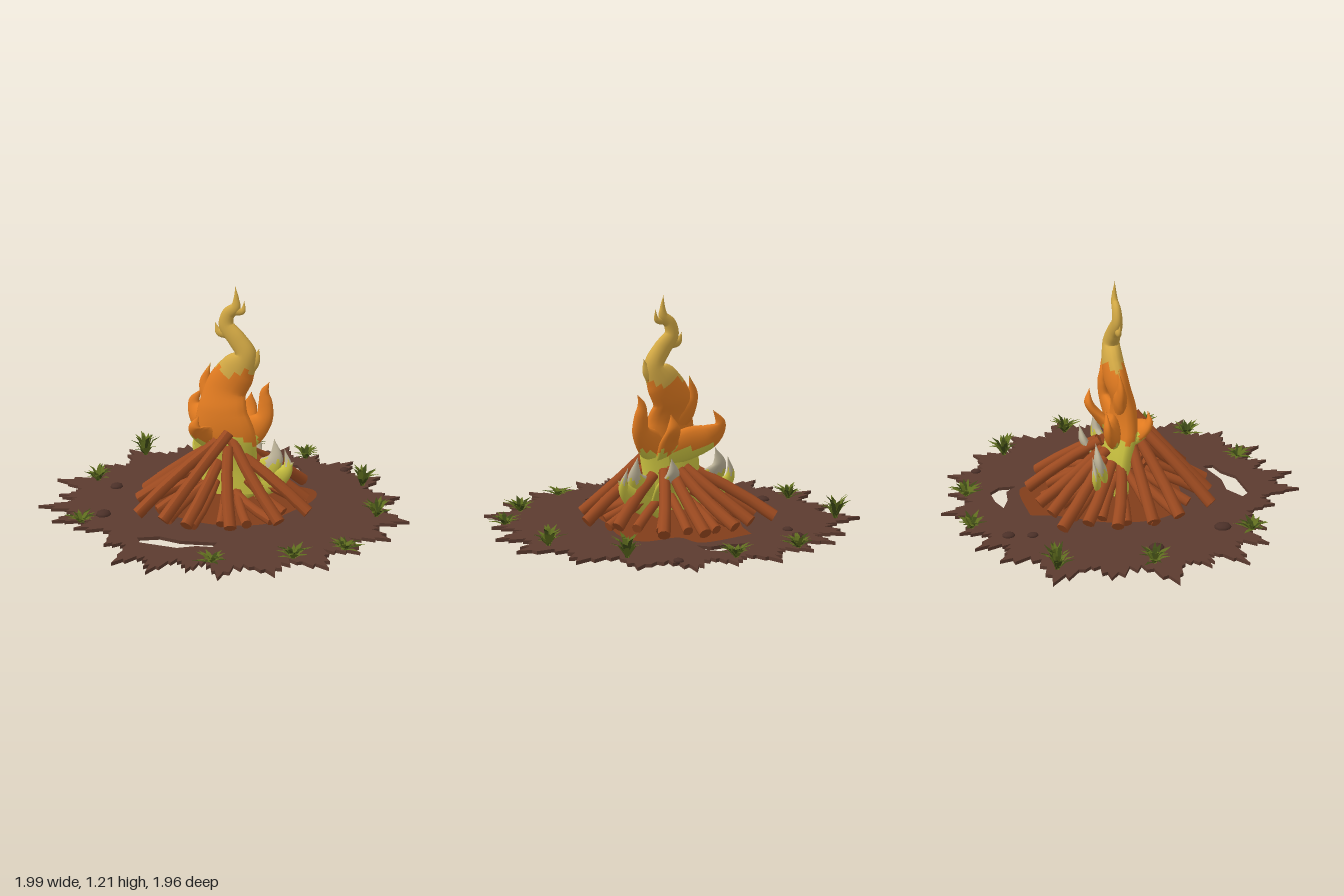
import * as THREE from 'three';

const mat = (name, color, side = THREE.FrontSide) => {
  const m = new THREE.MeshStandardMaterial({ color, side });
  m.name = name;
  return m;
};
const D = THREE.DoubleSide;
const M = {
  soil: mat('soil', 0x5c3b2f), rock: mat('rock', 0x4b3028), ash: mat('scorchedSoil', 0x813d1a, D),
  log: mat('logBark', 0x9c4a20), lime: mat('limeFlame', 0xcac240, D), orange: mat('orangeFlame', 0xe07a20, D),
  gold: mat('goldFlame', 0xd2a844, D), pale: mat('paleFlame', 0xbdb398, D),
  grass: mat('grass', 0x5f6d1e, D), darkGrass: mat('darkGrass', 0x3e4a16, D),
};

let seed = 7;
const rand = (a = 0, b = 1) => {
  seed = (seed * 16807) % 2147483647;
  return a + (b - a) * seed / 2147483647;
};
const V = (x, y, z) => new THREE.Vector3(x, y, z);
const pts2 = (list) => list.map(([x, z]) => new THREE.Vector2(x, z));

function add(group, name, geometry, material) {
  const mesh = new THREE.Mesh(geometry, material);
  mesh.name = name;
  group.add(mesh);
  return mesh;
}

// Ragged leaf-edged soil sheet with two openings
const TIPS = [[0.99, -0.13], [0.97, 0.13], [0.88, 0.35], [0.8, 0.59], [0.59, 0.77], [0.35, 0.91], [0.17, 0.89],
  [0, 0.98], [-0.2, 0.95], [-0.34, 0.76], [-0.58, 0.63], [-0.73, 0.59], [-0.9, 0.43], [-0.88, 0.24], [-1, 0.04],
  [-0.87, -0.27], [-0.85, -0.56], [-0.57, -0.77], [-0.42, -0.87], [-0.24, -0.92], [0, -0.98], [0.21, -0.91],
  [0.43, -0.88], [0.65, -0.7], [0.84, -0.45]];

function buildGround(group) {
  const outline = [];
  TIPS.forEach(([x, z], i) => {
    const [nx, nz] = TIPS[(i + 1) % TIPS.length];
    const r0 = Math.hypot(x, z), r1 = Math.hypot(nx, nz), a0 = Math.atan2(z, x);
    const da = Math.atan2(x * nz - z * nx, x * nx + z * nz);
    // tip, notch, side lobe, valley, small lobe, notch, side lobe, notch
    [[0, 1], [0.1, 0.92], [0.2, 0.935], [0.28, 0.865], [0.4, 0.88], [0.48, 0.83], [0.57, 0.885],
      [0.7, 0.86], [0.79, 0.94], [0.9, 0.92]].forEach(([t, k], j) => {
      const r = (r0 + (r1 - r0) * t) * (j ? k + rand(-0.015, 0.015) : 1);
      outline.push([r * Math.cos(a0 + da * t), r * Math.sin(a0 + da * t)]);
    });
  });
  const shape = new THREE.Shape(pts2(outline));
  const holes = [
    [[-0.03, -0.65], [0.05, -0.68], [0.16, -0.69], [0.21, -0.63], [0.2, -0.54], [0.15, -0.6], [0.06, -0.61]],
    [[-0.22, 0.62], [-0.12, 0.56], [0, 0.57], [0.18, 0.52], [0.18, 0.58], [0.1, 0.6], [0.02, 0.66], [-0.18, 0.67]],
  ];
  holes.forEach((h) => shape.holes.push(new THREE.Path(pts2(h))));
  const sheet = new THREE.ExtrudeGeometry(shape, { depth: 0.018, bevelEnabled: false });
  add(group, 'soilSheet', sheet.rotateX(Math.PI / 2), M.soil).position.y = 0.02;

  // Scorched patch, seen on both faces of the sheet
  const patch = new THREE.Shape();
  patch.setFromPoints(new THREE.SplineCurve(pts2([[-0.15, -0.53], [0.15, -0.53], [0.2, -0.38], [0.38, -0.35],
    [0.43, -0.2], [0.36, 0.05], [0.3, 0.22], [0.05, 0.32], [-0.25, 0.26], [-0.36, 0.1], [-0.33, -0.15],
    [-0.2, -0.38], [-0.15, -0.53]])).getPoints(60));
  [0.024, 0].forEach((y) => {
    add(group, 'scorchedPatch', new THREE.ShapeGeometry(patch).rotateX(Math.PI / 2), M.ash).position.y = y;
  });

  // Half-buried stones
  [[-0.64, 0.02, 0.035], [-0.52, 0.41, 0.04], [-0.33, -0.68, 0.03], [-0.36, -0.56, 0.026], [0.43, -0.72, 0.025]]
    .forEach(([x, z, r]) => {
      const stone = add(group, 'stone', new THREE.SphereGeometry(r, 9, 6), M.rock);
      stone.position.set(x, 0.022, z);
      stone.scale.set(1, 0.55, 1.15);
    });
}

// Log between two points
function log(group, a, b, r) {
  const dir = b.clone().sub(a);
  const mesh = add(group, 'log', new THREE.CylinderGeometry(r * 0.88, r, dir.length(), 9, 3), M.log);
  const p = mesh.geometry.attributes.position, ph = rand(0, 6);
  for (let i = 0; i < p.count; i++) { // slight natural bow
    const bow = Math.cos(p.getY(i) / dir.length() * Math.PI) * r * 0.35;
    p.setX(i, p.getX(i) + bow * Math.cos(ph));
    p.setZ(i, p.getZ(i) + bow * Math.sin(ph));
  }
  mesh.geometry.computeVertexNormals();
  mesh.position.copy(a).add(b).multiplyScalar(0.5);
  mesh.quaternion.setFromUnitVectors(V(0, 1, 0), dir.normalize());
}

function buildLogs(group) {
  // Leaning logs: foot x, foot z, head x, head y, head z
  [[-0.32, 0.41, 0.0, 0.4, 0.1], [-0.16, 0.44, 0.06, 0.45, 0.09], [-0.02, 0.46, 0.02, 0.3, 0.13],
    [0.2, 0.4, 0.06, 0.37, 0.1], [0.4, 0.23, 0.06, 0.4, 0.05], [0.49, 0.04, 0.12, 0.31, 0.03],
    [0.41, -0.14, 0.14, 0.28, -0.06], [0.3, -0.4, 0.1, 0.3, -0.1], [0.11, -0.49, 0.06, 0.31, -0.1],
    [-0.09, -0.47, 0.0, 0.29, -0.1], [-0.22, -0.43, -0.04, 0.3, -0.09], [-0.39, -0.41, -0.1, 0.28, -0.12],
    [-0.37, -0.27, -0.12, 0.26, -0.08], [-0.44, -0.13, -0.12, 0.25, -0.03], [-0.44, 0.06, -0.02, 0.37, 0.04],
    [-0.41, 0.21, 0.0, 0.38, 0.07]]
    .forEach(([x, z, hx, hy, hz]) => log(group, V(x, 0.055, z), V(hx, hy, hz), 0.033));
  // Low kindling between them
  for (let i = 0; i < 18; i++) {
    const a = (i + 0.5) / 18 * Math.PI * 2, r = rand(0.36, 0.45), b = a + rand(-0.25, 0.25);
    log(group, V(r * Math.cos(a), 0.045, r * Math.sin(a)),
      V(0.13 * Math.cos(b), rand(0.12, 0.2), 0.13 * Math.sin(b)), 0.027);
  }
}

// Flame tongue swept along rows of [x, y, z, half width, half depth]; colours change at zigzag heights
function flame(group, name, rows, bands) {
  const path = new THREE.CatmullRomCurve3(rows.map(([x, y, z]) => V(x, y, z)));
  const size = new THREE.CatmullRomCurve3(rows.map((r) => V(r[3], r[4], 0)), false, 'catmullrom', 0.4);
  const N = rows.length * 6, S = 16, pos = [], buckets = bands.map(() => []);
  for (let i = 0; i <= N; i++) {
    const c = path.getPoint(i / N), t = path.getTangent(i / N), s = size.getPoint(i / N);
    const n = V(t.y, -t.x, 0).normalize();
    for (let j = 0; j < S; j++) {
      const a = j / S * Math.PI * 2, w = Math.max(s.x, 0.001) * Math.cos(a);
      pos.push(c.x + n.x * w, c.y + n.y * w, c.z + Math.max(s.y, 0.001) * Math.sin(a));
    }
  }
  for (let i = 0; i < N; i++) for (let j = 0; j < S; j++) {
    const a = i * S + j, b = i * S + (j + 1) % S;
    const y = (pos[a * 3 + 1] + pos[(b + S) * 3 + 1]) / 2 + 0.022 * Math.cos(j * Math.PI / 2);
    let k = bands.findIndex(([, top]) => y < top);
    if (k < 0) k = bands.length - 1;
    buckets[k].push(a, a + S, b, b, a + S, b + S);
  }
  const g = new THREE.BufferGeometry();
  g.setAttribute('position', new THREE.Float32BufferAttribute(pos, 3));
  g.setIndex(buckets.flat());
  let start = 0;
  buckets.forEach((bk, k) => { g.addGroup(start, bk.length, k); start += bk.length; });
  g.computeVertexNormals();
  add(group, name, g, bands.map(([m]) => m));
}

function buildFire(group) {
  const full = [[M.lime, 0.4], [M.orange, 0.76], [M.gold, 9]], low = [[M.lime, 0.27], [M.pale, 9]];
  flame(group, 'mainFlame', [[0.02, 0.08, -0.03, 0.19, 0.06], [0, 0.25, -0.02, 0.18, 0.06], [0, 0.42, 0.01, 0.18, 0.065],
    [-0.01, 0.55, 0.01, 0.14, 0.06], [0, 0.66, -0.02, 0.115, 0.06], [0.06, 0.76, -0.03, 0.1, 0.055],
    [0.11, 0.85, -0.025, 0.058, 0.045], [0.06, 0.93, -0.02, 0.05, 0.035], [0, 1, -0.02, 0.042, 0.028],
    [0.01, 1.06, -0.02, 0.035, 0.024], [0.05, 1.1, -0.02, 0.028, 0.018], [0.055, 1.15, -0.02, 0.014, 0.01],
    [0.05, 1.21, -0.02, 0, 0]], full);
  const tongues = {
    leftTongue: [[0.06, 0.38, -0.04], [-0.08, 0.42, -0.06, 0.09], [-0.19, 0.46, -0.1, 0.07],
      [-0.235, 0.52, -0.13, 0.035], [-0.19, 0.6, -0.13, 0]],
    upperLeftTongue: [[0, 0.5, 0], [-0.08, 0.6, -0.02, 0.07], [-0.125, 0.67, -0.03, 0.035], [-0.1, 0.78, -0.04, 0]],
    middleTongue: [[0.03, 0.6, -0.01], [-0.01, 0.7, -0.02, 0.05], [-0.015, 0.75, -0.03, 0.025], [0, 0.81, -0.03, 0]],
    rightTongue: [[0.05, 0.38, -0.01], [0.14, 0.44, -0.02, 0.08], [0.205, 0.51, -0.04, 0.05],
      [0.21, 0.59, -0.05, 0.04], [0.205, 0.65, -0.05, 0.025], [0.23, 0.71, -0.05, 0]],
    frontTongue: [[-0.04, 0.38, 0.02], [-0.1, 0.43, 0.08, 0.06], [-0.12, 0.47, 0.12, 0.035], [-0.1, 0.53, 0.12, 0]],
    backTongue: [[0.04, 0.38, -0.04], [0.07, 0.45, -0.1, 0.06], [0.08, 0.53, -0.155, 0.04], [0.09, 0.61, -0.15, 0]],
    goldRightSpur: [[0.1, 0.77, -0.03, 0.05], [0.155, 0.82, -0.03, 0.03], [0.18, 0.89, -0.03, 0]],
    goldLeftSpur: [[0.02, 0.96, -0.02, 0.03], [-0.04, 0.96, -0.02, 0.022], [-0.065, 1.01, -0.02, 0]],
    goldTipSpur: [[0.04, 1.08, -0.02, 0.024], [0.09, 1.085, -0.02, 0.016], [0.1, 1.14, -0.02, 0]],
  };
  const fill = (rows, flat) => rows.map(([x, y, z, w = 0.08]) => [x, y, z, w, Math.min(w * 0.6, flat)]);
  for (const n in tongues) flame(group, n, fill(tongues[n], 0.04), full);
  const skirts = {
    rightSkirt: [[0.05, 0.12, -0.03, 0.1], [0.19, 0.2, -0.05, 0.08], [0.26, 0.28, -0.07, 0.045], [0.25, 0.39, -0.08, 0]],
    outerRightSkirt: [[0.14, 0.12, -0.04], [0.27, 0.18, -0.06, 0.06], [0.33, 0.24, -0.07, 0.03], [0.31, 0.34, -0.08, 0]],
    farRightWisp: [[0.28, 0.2, -0.07, 0.04], [0.33, 0.24, -0.07, 0.025], [0.365, 0.28, -0.07, 0]],
    leftSkirt: [[-0.04, 0.12, -0.06, 0.1], [-0.15, 0.22, -0.13, 0.08], [-0.2, 0.31, -0.17, 0.045], [-0.17, 0.41, -0.18, 0]],
    outerLeftSkirt: [[-0.12, 0.12, -0.12], [-0.2, 0.19, -0.18, 0.05], [-0.25, 0.25, -0.2, 0.03], [-0.23, 0.36, -0.21, 0]],
    backSkirt: [[0.08, 0.12, -0.05], [0.1, 0.22, -0.12, 0.07], [0.1, 0.3, -0.18, 0.04], [0.12, 0.39, -0.2, 0]],
  };
  for (const n in skirts) flame(group, n, fill(skirts[n], 0.025), low);
}

// Tuft of arching pointed blades
function tuft(group, x, z, h) {
  const shades = [[], []];
  for (let i = 0; i < 22; i++) {
    const a = i * 2.4 + rand(-0.3, 0.3), reach = rand(0.05, 0.105), top = h * rand(0.45, 1) * (1.25 - reach * 5), w = 0.011;
    const at = (r, y, s) => [x + r * Math.cos(a) - s * Math.sin(a), 0.02 + y, z + r * Math.sin(a) + s * Math.cos(a)];
    const A = at(0, 0, -w), B = at(0, 0, w), C = at(reach * 0.5, top * 0.8, w), E = at(reach * 0.5, top * 0.8, -w);
    shades[i % 3 ? 0 : 1].push(...A, ...C, ...B, ...A, ...E, ...C, ...E, ...at(reach, top, 0), ...C);
  }
  shades.forEach((list, k) => {
    const g = new THREE.BufferGeometry();
    g.setAttribute('position', new THREE.Float32BufferAttribute(list, 3));
    g.computeVertexNormals();
    add(group, 'grassTuft', g, k ? M.darkGrass : M.grass);
  });
}

export function createModel() {
  const root = new THREE.Group();
  root.name = 'campfire';
  const part = (name) => {
    const g = new THREE.Group();
    g.name = name;
    root.add(g);
    return g;
  };
  buildGround(part('ground'));
  buildLogs(part('logPile'));
  buildFire(part('fire'));
  const grass = part('grass');
  [[-0.72, -0.51, 0.14], [-0.2, -0.85, 0.08], [0.16, -0.82, 0.08], [0.6, -0.53, 0.13], [0.81, -0.13, 0.11],
    [0.8, 0.35, 0.06], [0.6, 0.55, 0.08], [0.25, 0.75, 0.05], [-0.58, 0.55, 0.06], [-0.78, -0.03, 0.09]]
    .forEach((t) => tuft(grass, ...t));
  return root;
}
